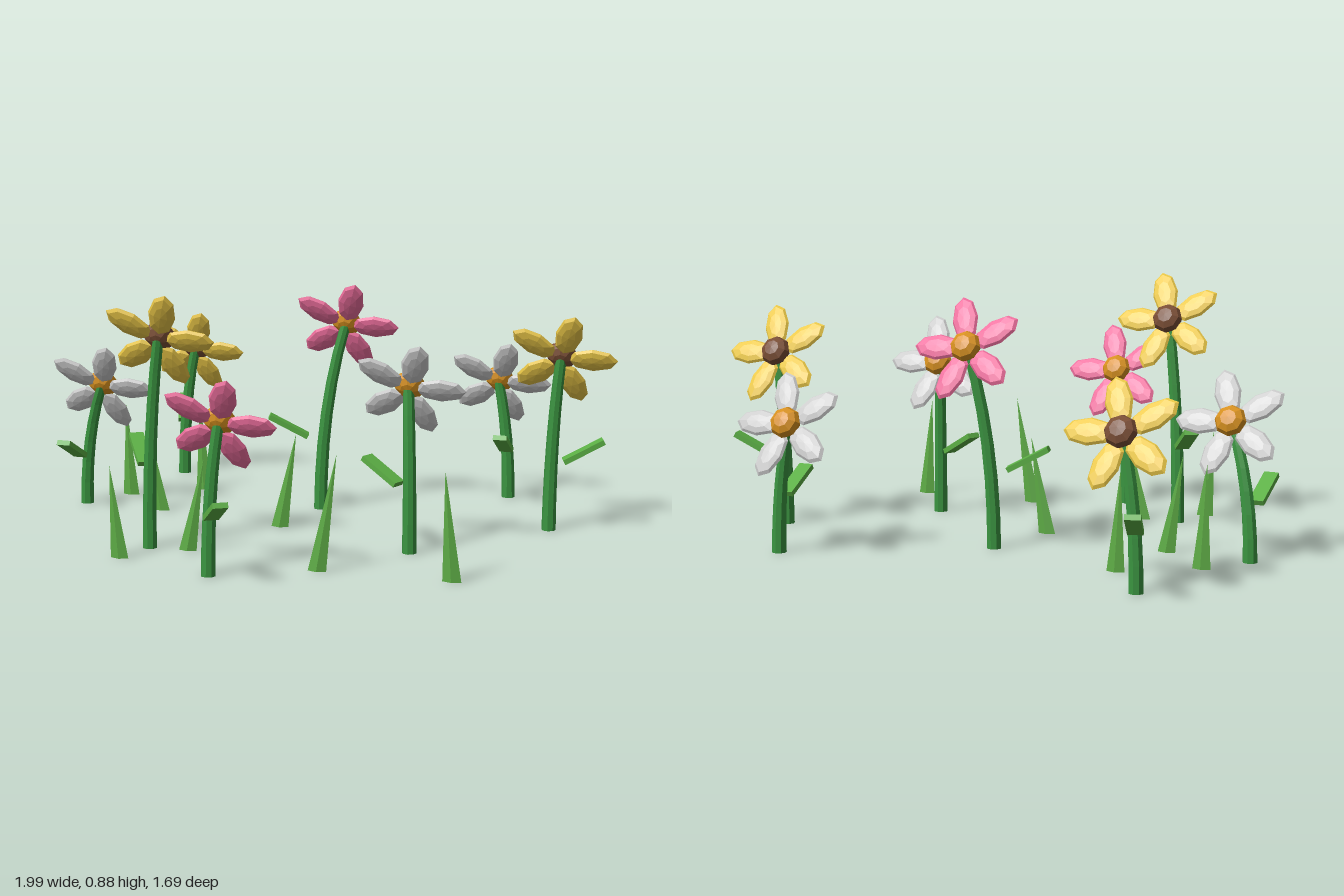
import * as THREE from 'three';

const mat = (color) => new THREE.MeshStandardMaterial({ color, flatShading: true });
const MATS = {
  stem: mat(0x3a9440), leaf: mat(0x5cb045), blade: mat(0x5dab45),
  yellow: mat(0xecc948), pink: mat(0xf0709f), white: mat(0xcccccc),
  brown: mat(0x7a4e35), orange: mat(0xd6901f),
};

// Flowers: stem base (x, z), head centre (x, y, z), leaf direction (dx, dz) and height
const FLOWERS = [
  { petal: 'yellow', eye: 'brown', base: [-0.48, 0.41], head: [-0.43, 0.715, 0.435], leaf: [-0.105, -0.155, 0.315] },
  { petal: 'yellow', eye: 'brown', base: [-0.74, -0.657], head: [-0.69, 0.485, -0.65], leaf: [-0.06, -0.19, 0.235] },
  { petal: 'yellow', eye: 'brown', base: [0.77, -0.19], head: [0.80, 0.605, -0.188], leaf: [0.185, -0.05, 0.28] },
  { petal: 'pink', eye: 'orange', base: [-0.075, -0.26], head: [0.01, 0.67, -0.283], leaf: [-0.17, 0.05, 0.305] },
  { petal: 'pink', eye: 'orange', base: [-0.18, 0.675], head: [-0.145, 0.495, 0.665], leaf: [0.09, 0.145, 0.24] },
  { petal: 'white', eye: 'orange', base: [0.375, 0.235], head: [0.36, 0.55, 0.203], leaf: [-0.175, -0.075, 0.265] },
  { petal: 'white', eye: 'orange', base: [0.545, -0.616], head: [0.503, 0.43, -0.617], leaf: [0, 0.18, 0.225] },
  { petal: 'white', eye: 'orange', base: [-0.92, -0.105], head: [-0.835, 0.445, -0.056], leaf: [-0.01, 0.18, 0.225] },
];

// Grass blades: base x, tip x, z, height
const BLADES = [
  [-0.81, -0.825, -0.265, 0.34], [-0.62, -0.675, -0.075, 0.33], [-0.575, -0.59, -0.415, 0.33],
  [-0.53, -0.56, 0.56, 0.31], [-0.345, -0.285, 0.41, 0.32], [-0.14, -0.08, 0.03, 0.335],
  [0.14, 0.205, 0.53, 0.39], [0.585, 0.56, 0.53, 0.36],
];

const petalGeo = new THREE.SphereGeometry(1, 8, 6).scale(0.086, 0.017, 0.046).translate(0.109, 0, 0);
const eyeGeo = new THREE.SphereGeometry(1, 8, 6).scale(0.054, 0.036, 0.054).translate(0, 0.02, 0);
const leafGeo = new THREE.BoxGeometry(0.155, 0.018, 0.05);

function add(parent, name, geometry, material) {
  const mesh = new THREE.Mesh(geometry, material);
  mesh.name = name;
  parent.add(mesh);
  return mesh;
}

// Tapered cylinder bent along a curve that leaves the ground upright
function stemGeometry([bx, bz], [hx, hy, hz]) {
  const curve = new THREE.QuadraticBezierCurve3(
    new THREE.Vector3(bx, 0, bz), new THREE.Vector3(bx, hy * 0.55, bz), new THREE.Vector3(hx, hy, hz));
  const geo = new THREE.CylinderGeometry(0.019, 0.025, 1, 8, 6);
  const pos = geo.attributes.position;
  for (let i = 0; i < pos.count; i++) {
    const p = curve.getPoint(THREE.MathUtils.clamp(pos.getY(i) + 0.5, 0, 1));
    pos.setXYZ(i, p.x + pos.getX(i), p.y, p.z + pos.getZ(i));
  }
  geo.computeVertexNormals();
  return geo;
}

function makeFlower({ petal, eye, base, head, leaf }) {
  const flower = new THREE.Group();
  flower.name = petal + 'Flower';
  add(flower, 'stem', stemGeometry(base, head), MATS.stem);

  // Leaf rising outward from the stem
  const [dx, dz, leafY] = leaf;
  const leafPivot = new THREE.Group();
  leafPivot.name = 'leafPivot';
  leafPivot.position.set(base[0], leafY, base[1]);
  leafPivot.rotation.y = Math.atan2(-dz, dx);
  const blade = add(leafPivot, 'leaf', leafGeo, MATS.leaf);
  blade.position.x = 0.115;
  blade.rotation.z = 0.49;
  flower.add(leafPivot);

  // Head tilted toward the back, with five petals round a domed centre
  const bloom = new THREE.Group();
  bloom.name = 'bloom';
  bloom.position.set(...head);
  bloom.rotation.x = -Math.PI / 3;
  for (let i = 0; i < 5; i++) {
    add(bloom, 'petal', petalGeo, MATS[petal]).rotation.y = -i * Math.PI * 2 / 5;
  }
  add(bloom, 'flowerCentre', eyeGeo, MATS[eye]);
  flower.add(bloom);
  return flower;
}

// Four-sided spike, flattened front to back and sheared sideways
function bladeGeometry(lean, height) {
  const geo = new THREE.ConeGeometry(0.031, height, 4).scale(1, 1, 0.38).translate(0, height / 2, 0);
  const pos = geo.attributes.position;
  for (let i = 0; i < pos.count; i++) {
    pos.setX(i, pos.getX(i) + lean * pos.getY(i) / height);
  }
  geo.computeVertexNormals();
  return geo;
}

export function createModel() {
  const model = new THREE.Group();
  model.name = 'flowerPatch';
  for (const f of FLOWERS) model.add(makeFlower(f));
  for (const [x, tipX, z, height] of BLADES) {
    add(model, 'grassBlade', bladeGeometry(tipX - x, height), MATS.blade).position.set(x, 0, z);
  }
  return model;
}
